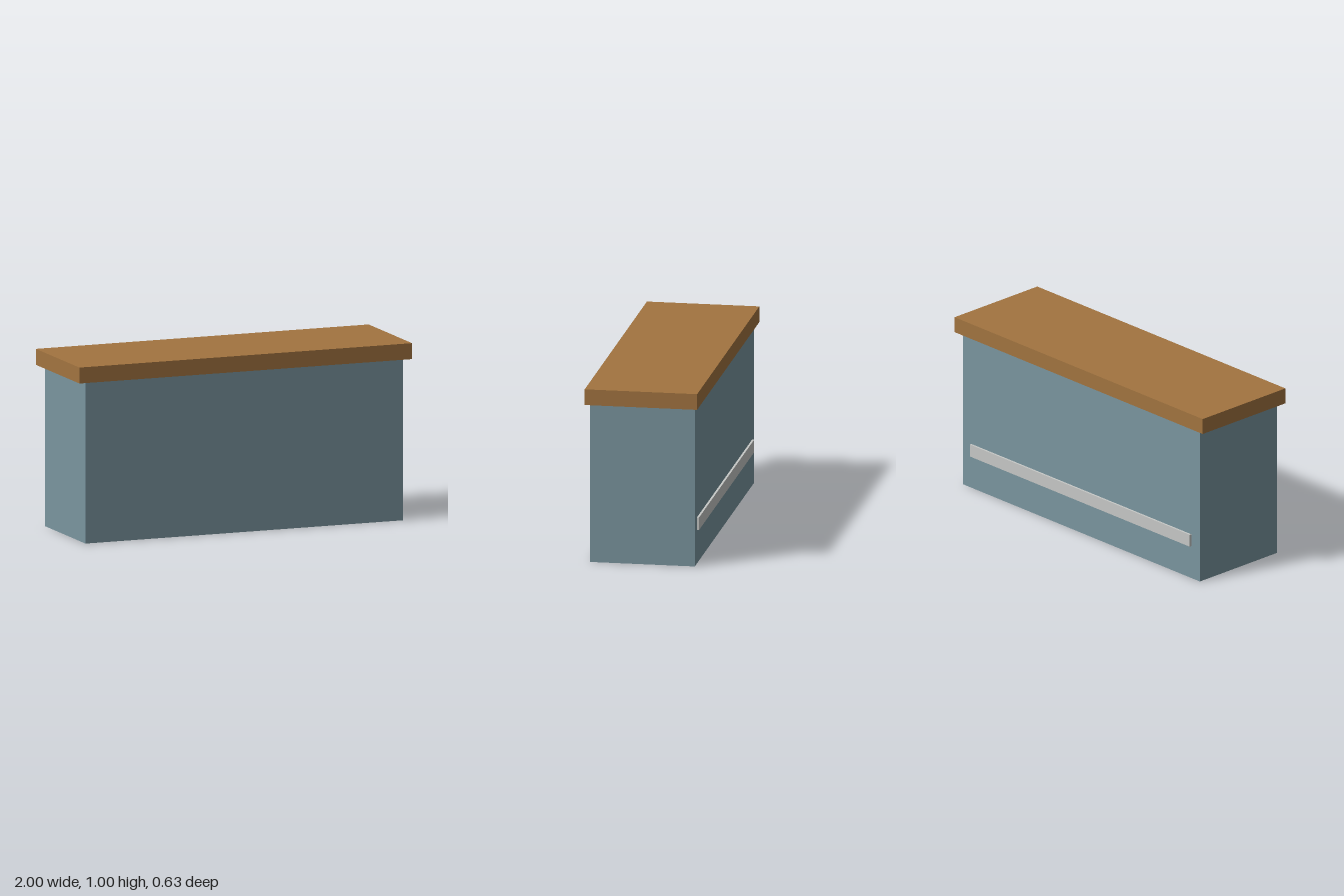
import * as THREE from 'three';

const paint = new THREE.MeshStandardMaterial({ name: 'blueGreyPaint', color: 0x7a959f });
const wood = new THREE.MeshStandardMaterial({ name: 'wood', color: 0xa27440 });
const metal = new THREE.MeshStandardMaterial({ name: 'paleMetal', color: 0xc6c8c6 });

// Box given by its lowest and highest corners
function box(name, material, min, max) {
  const size = max.map((v, i) => v - min[i]);
  const mesh = new THREE.Mesh(new THREE.BoxGeometry(...size), material);
  mesh.position.set(...max.map((v, i) => (v + min[i]) / 2));
  mesh.name = name;
  return mesh;
}

export function createModel() {
  const group = new THREE.Group();
  group.name = 'counter';
  group.add(
    // Solid cabinet body
    box('cabinetBody', paint, [-0.955, 0, -0.296], [0.955, 0.91, 0.296]),
    // Overhanging worktop
    box('worktop', wood, [-1, 0.91, -0.317], [1, 1, 0.317]),
    // Thin foot rail along the back
    box('backRail', metal, [-0.886, 0.192, -0.308], [0.886, 0.264, -0.293]),
  );
  return group;
}
